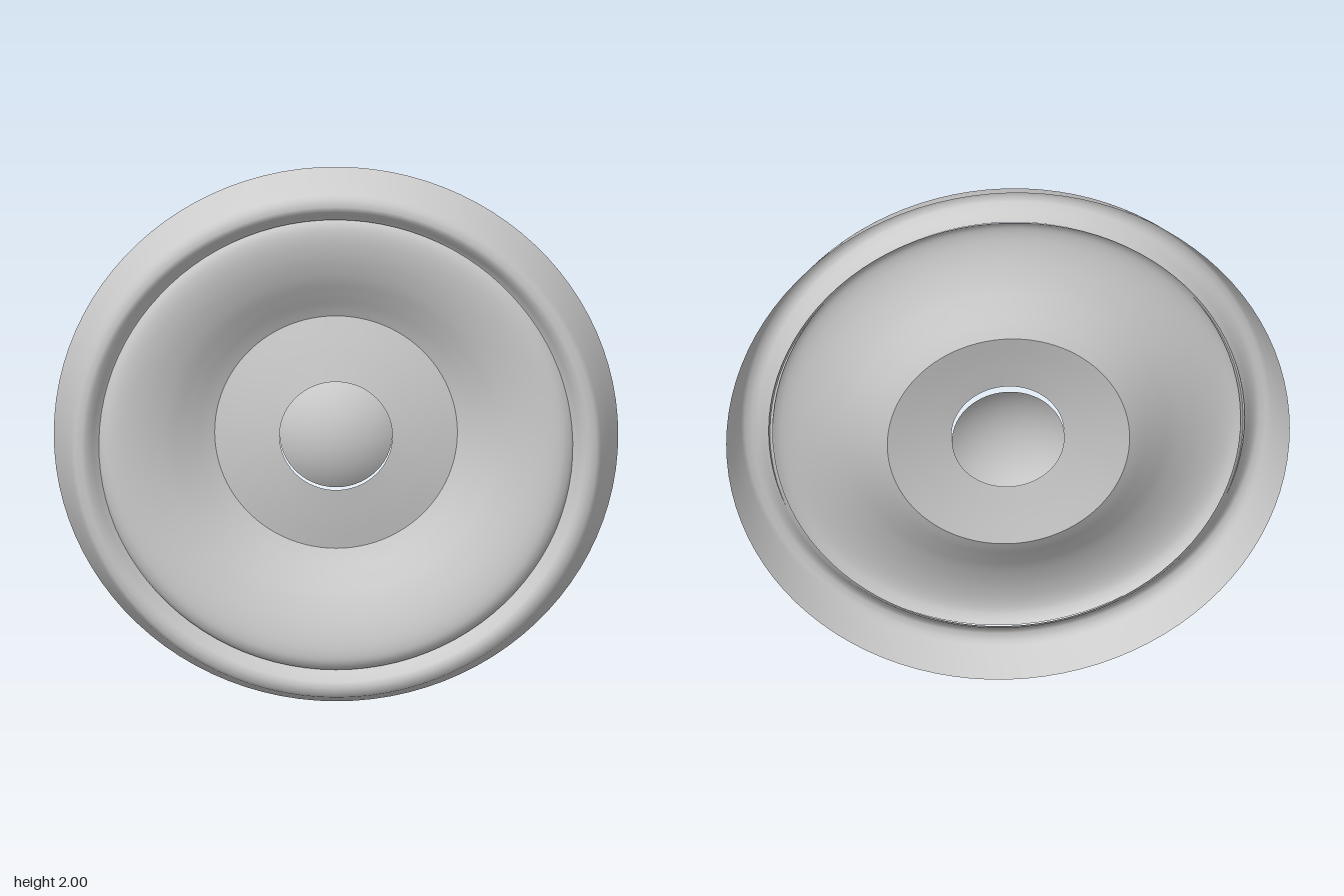
import * as THREE from 'three';

const material = new THREE.MeshStandardMaterial({ color: 0xcccccc, side: THREE.DoubleSide });

// Thin surface of revolution about z; profile is a list of [radius, z]
function spun(name, profile, steps) {
  const points = profile.map(([r, z]) => new THREE.Vector2(r, z));
  const smooth = steps ? new THREE.SplineCurve(points).getPoints(steps) : points;
  const geometry = new THREE.LatheGeometry(smooth, 96);
  geometry.rotateX(Math.PI / 2);
  const mesh = new THREE.Mesh(geometry, material);
  mesh.name = name;
  return mesh;
}

export function createModel() {
  const model = new THREE.Group();
  model.name = 'speakerDriver';

  // Flared outer wall rolling over into the inner lip
  const rim = spun('outerRim', [
    [1, -0.055], [0.97, 0.013], [0.94, 0.08], [0.925, 0.094], [0.9, 0.1],
    [0.88, 0.092], [0.86, 0.066], [0.845, 0.042], [0.83, 0.03],
  ]);

  // The diaphragm leans back slightly at the top
  const diaphragm = new THREE.Group();
  diaphragm.name = 'diaphragm';
  diaphragm.rotation.x = -0.035;

  // Concave cone with a rolled outer edge
  diaphragm.add(spun('cone', [
    [0.43, -0.085], [0.47, -0.063], [0.53, -0.026], [0.6, 0.014],
    [0.68, 0.046], [0.75, 0.062], [0.8, 0.062], [0.83, 0.048], [0.845, 0.03],
  ], 40));

  // Shallow ring rising from the cone to the central hole
  diaphragm.add(spun('innerRing', [[0.2, -0.037], [0.32, -0.06], [0.43, -0.085]], 8));

  // Domed cap sitting just behind the hole
  const capRadius = 0.2, capHeight = 0.065, capEdge = -0.072;
  const sphere = (capRadius ** 2 + capHeight ** 2) / (2 * capHeight);
  const capProfile = [];
  for (let i = 0; i <= 12; i++) {
    const a = Math.asin(capRadius / sphere) * (1 - i / 12);
    capProfile.push([sphere * Math.sin(a), capEdge + capHeight - sphere * (1 - Math.cos(a))]);
  }
  diaphragm.add(spun('dustCap', capProfile));

  model.add(rim, diaphragm);
  // Stand the disc upright on the ground
  model.children.forEach((part) => { part.position.y = 1; });
  return model;
}
